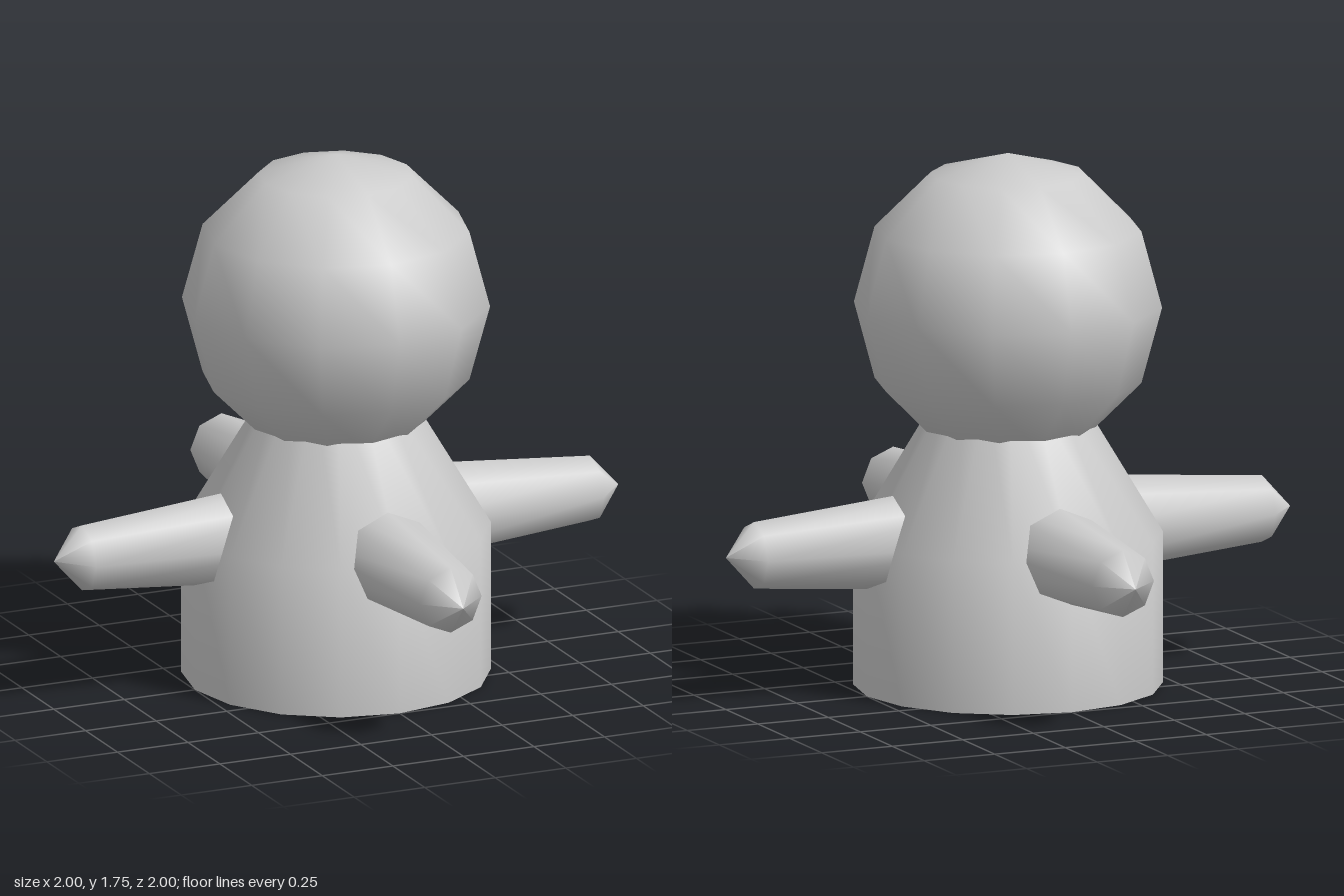
import * as THREE from 'three';

const material = new THREE.MeshStandardMaterial({ color: 0xcccccc });

// Revolves [radius, height] pairs around the y axis
function revolve(points, sides) {
  return new THREE.LatheGeometry(points.map(([r, y]) => new THREE.Vector2(r, y)), sides);
}

function addPart(parent, name, geometry) {
  const mesh = new THREE.Mesh(geometry, material);
  mesh.name = name;
  parent.add(mesh);
  return mesh;
}

export function createModel() {
  const model = new THREE.Group();
  model.name = 'figure';

  // Straight lower body with shoulders tapering up into the head
  addPart(model, 'body', revolve([[0.5, 0], [0.5, 0.5], [0.2, 1]], 16));

  // Flat underside
  const base = addPart(model, 'base', new THREE.CircleGeometry(0.5, 16));
  base.rotation.x = Math.PI / 2;

  // Faceted round head
  const head = addPart(model, 'head', new THREE.SphereGeometry(0.5, 12, 6));
  head.position.y = 1.25;

  // Four tapered arms with pointed ends, one on each side
  const armGeometry = revolve([[0.19, 0], [0.11, 0.9], [0, 1]], 8);
  armGeometry.rotateX(Math.PI / 2);
  ['frontArm', 'leftArm', 'backArm', 'rightArm'].forEach((name, i) => {
    const arm = addPart(model, name, armGeometry);
    arm.position.y = 0.5;
    arm.rotation.y = i * Math.PI / 2;
  });

  return model;
}
